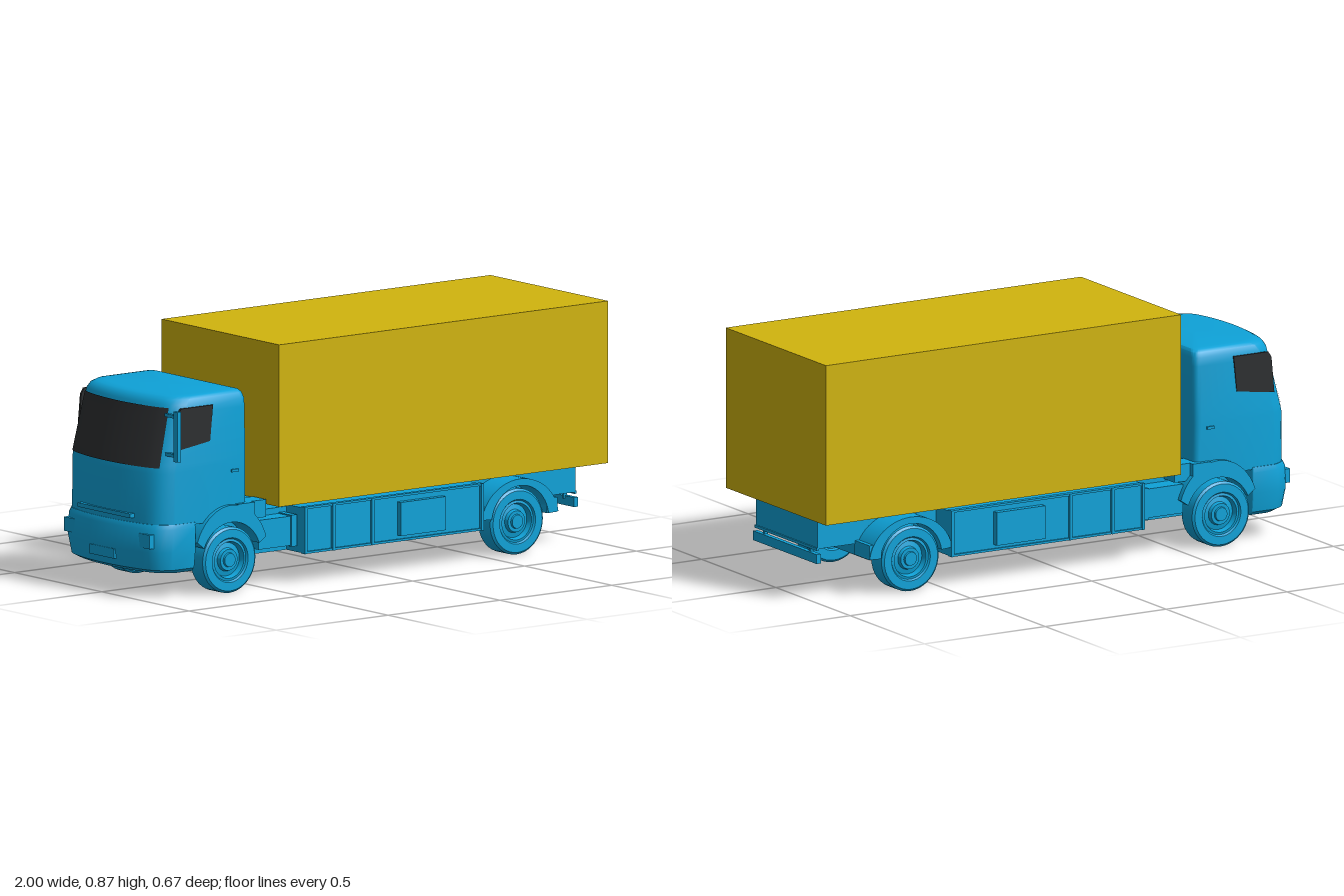
import * as THREE from 'three';
import { toCreasedNormals } from 'three/addons/utils/BufferGeometryUtils.js';

const blue = new THREE.MeshStandardMaterial({ color: 0x0ea2d8 });
const yellow = new THREE.MeshStandardMaterial({ color: 0xd0b40e });
const dark = new THREE.MeshStandardMaterial({ color: 0x2c2e30 });

// Heights of the cab: [y, front x, back x, half width]
const CAB = [
  [0.26, -0.985, -0.565, 0.278], [0.45, -0.983, -0.565, 0.28], [0.48, -0.976, -0.565, 0.28],
  [0.66, -0.93, -0.565, 0.277], [0.69, -0.923, -0.566, 0.274], [0.708, -0.912, -0.57, 0.266],
  [0.717, -0.895, -0.577, 0.254], [0.72, -0.87, -0.588, 0.236],
];
const BUMPER = [
  [0.092, -0.965, -0.8, 0.262], [0.105, -0.988, -0.8, 0.276], [0.17, -0.999, -0.8, 0.284],
  [0.25, -0.996, -0.8, 0.284], [0.268, -0.987, -0.8, 0.28],
];

// Bowed front with rounded corners; t runs from -1 to 1 across the width
const bow = t => 0.045 * t * t + 0.05 * Math.pow(Math.abs(t), 14);

// Outline of one level, seen from above
function outline([, xf, xb, w], rb) {
  const pts = [];
  for (let i = -12; i <= 12; i++) {
    const t = Math.sin((i / 12) * Math.PI / 2);
    pts.push([xf + bow(t), t * w]);
  }
  for (let i = 0; i <= 4; i++) {
    const a = (i / 4) * Math.PI / 2;
    pts.push([xb - rb + rb * Math.sin(a), w - rb + rb * Math.cos(a)]);
  }
  for (let i = 4; i >= 0; i--) {
    const a = (i / 4) * Math.PI / 2;
    pts.push([xb - rb + rb * Math.sin(a), -(w - rb + rb * Math.cos(a))]);
  }
  return pts;
}

// Skin stacked outlines and close both ends
function loft(levels, rb) {
  const pos = [], idx = [];
  let n = 0;
  for (const l of levels) {
    const o = outline(l, rb);
    n = o.length;
    for (const [x, z] of o) pos.push(x, l[0], z);
  }
  for (let j = 0; j < levels.length - 1; j++)
    for (let i = 0; i < n; i++) {
      const k = (i + 1) % n, a = j * n, b = a + n;
      idx.push(a + i, a + k, b + k, a + i, b + k, b + i);
    }
  const top = (levels.length - 1) * n, c = levels.length * n;
  for (const l of [levels[0], levels[levels.length - 1]]) pos.push((l[1] + l[2]) / 2, l[0], 0);
  for (let i = 0; i < n; i++) {
    const k = (i + 1) % n;
    idx.push(c, k, i, c + 1, top + i, top + k);
  }
  const g = new THREE.BufferGeometry();
  g.setAttribute('position', new THREE.Float32BufferAttribute(pos, 3));
  g.setIndex(idx);
  return toCreasedNormals(g, 0.6);
}

// Front of the cab at a given height
function cabLevel(y) {
  const j = Math.max(1, CAB.findIndex(l => l[0] >= y));
  const a = CAB[j - 1], b = CAB[j], f = (y - a[0]) / (b[0] - a[0]);
  return a.map((v, i) => v + (b[i] - v) * f);
}

// Glass that follows the cab front
function windscreenGeometry() {
  const g = new THREE.PlaneGeometry(2, 1, 20, 10), p = g.attributes.position;
  for (let i = 0; i < p.count; i++) {
    const y = 0.575 + p.getY(i) * 0.21, l = cabLevel(y);
    const t = p.getX(i) * (0.88 - 0.02 * p.getY(i));
    p.setXYZ(i, l[1] + bow(t) - 0.004, y, t * l[3]);
  }
  g.computeVertexNormals();
  return g;
}

function wheelGeometry() {
  const profile = [
    [0, -0.03], [0.07, -0.03], [0.075, -0.041], [0.11, -0.041], [0.118, -0.034], [0.118, 0.034],
    [0.11, 0.041], [0.08, 0.041], [0.075, 0.034], [0.066, 0.036], [0.06, 0.016], [0.042, 0.02],
    [0.038, 0.034], [0.026, 0.034], [0.024, 0.041], [0, 0.041],
  ].map(([x, y]) => new THREE.Vector2(x, y));
  return toCreasedNormals(new THREE.LatheGeometry(profile, 40).rotateX(Math.PI / 2), 0.6);
}

// Arched band between two ellipses
function archGeometry(rx, ry, inner, from, to, depth) {
  const s = new THREE.Shape();
  s.absellipse(0, 0, rx, ry, from, to, false);
  s.absellipse(0, 0, inner, inner, to, from, true);
  const g = new THREE.ExtrudeGeometry(s, { depth, bevelEnabled: false, curveSegments: 14 });
  return toCreasedNormals(g.translate(0, 0, -depth / 2), 0.6);
}

function plateGeometry(points, depth) {
  const s = new THREE.Shape(points.map(([x, y]) => new THREE.Vector2(x, y)));
  return new THREE.ExtrudeGeometry(s, { depth, bevelEnabled: false }).translate(0, 0, -depth / 2);
}

export function createModel() {
  const model = new THREE.Group();
  model.name = 'boxTruck';
  const add = (name, geo, mat = blue, x = 0, y = 0, z = 0) => {
    const m = new THREE.Mesh(geo, mat);
    m.name = name;
    m.position.set(x, y, z);
    model.add(m);
    return m;
  };
  // Box given by its limits
  const box = (name, x0, x1, y0, y1, z0, z1, mat = blue) =>
    add(name, new THREE.BoxGeometry(x1 - x0, y1 - y0, Math.abs(z1 - z0)), mat,
      (x0 + x1) / 2, (y0 + y1) / 2, (z0 + z1) / 2);

  // Cargo box
  box('cargoBox', -0.47, 1, 0.295, 0.875, -0.337, 0.337, yellow);

  // Cab
  add('cab', loft(CAB, 0.025));
  add('bumper', loft(BUMPER, 0.005));
  add('windscreen', windscreenGeometry(), dark);
  box('grilleBar', -0.991, -0.96, 0.285, 0.3, -0.15, 0.15);
  box('numberPanel', -1, -0.97, 0.13, 0.165, -0.07, 0.07);

  // Chassis
  box('frontChassis', -0.82, -0.33, 0.11, 0.265, -0.205, 0.205);
  box('cabRearPlate', -0.57, -0.48, 0.24, 0.312, -0.2, 0.2);
  box('subframe', -0.5, 0.45, 0.26, 0.296, -0.11, 0.11);
  box('centreBody', -0.335, 0.465, 0.11, 0.272, -0.303, 0.303);
  box('rearChassis', 0.43, 0.955, 0.178, 0.296, -0.208, 0.208);
  box('rearAxleHousing', 0.45, 0.74, 0.11, 0.18, -0.205, 0.205);
  box('tailLip', 0.95, 0.96, 0.172, 0.182, -0.208, 0.208);
  box('underrunBar', 0.945, 0.963, 0.126, 0.16, -0.213, 0.213);

  const wheel = wheelGeometry();
  const frontArch = archGeometry(0.165, 0.193, 0.132, 0.35, 2.75, 0.095);
  const rearArch = archGeometry(0.172, 0.152, 0.128, 0.12, 3.0, 0.106);
  const sideWindow = plateGeometry(
    [[-0.89, 0.53], [-0.735, 0.552], [-0.722, 0.68], [-0.865, 0.68], [-0.878, 0.66]], 0.008);

  for (const s of [1, -1]) {
    const side = s > 0 ? 'left' : 'right';
    // Wheels and fenders
    for (const [end, x] of [['Front', -0.66], ['Rear', 0.625]])
      add(side + end + 'Wheel', wheel, blue, x, 0.12, s * 0.259).rotation.y = s > 0 ? 0 : Math.PI;
    add(side + 'FrontFender', frontArch, blue, -0.65, 0.122, s * 0.2475);
    box(side + 'FenderDeck', -0.62, -0.545, 0.25, 0.315, s * 0.2, s * 0.295);
    box(side + 'FenderTail', -0.545, -0.48, 0.252, 0.315, s * 0.2, s * 0.275);
    add(side + 'RearFender', rearArch, blue, 0.63, 0.122, s * 0.255);
    box(side + 'MudFlap', 0.75, 0.8, 0.138, 0.19, s * 0.205, s * 0.305);

    // Side windows, door handle, headlamp
    add(side + 'Window', sideWindow, dark, 0, 0, s * 0.2775);
    box(side + 'DoorHandle', -0.64, -0.61, 0.43, 0.44, s * 0.275, s * 0.286);
    box(side + 'Headlamp', -0.978, -0.93, 0.185, 0.235, s * 0.15, s * 0.245);

    // Tank and side skirt with ribs, rails and hatch
    box(side + 'Tank', -0.515, -0.35, 0.138, 0.243, s * 0.2, s * 0.275);
    box(side + 'TankStrap', -0.37, -0.345, 0.134, 0.247, s * 0.2, s * 0.279);
    for (const x of [-0.33, -0.205, -0.03, 0.459])
      box(side + 'SkirtRib', x - 0.006, x + 0.006, 0.108, 0.276, s * 0.29, s * 0.313);
    for (const y of [0.112, 0.272])
      box(side + 'SkirtRail', -0.335, 0.465, y - 0.004, y + 0.004, s * 0.29, s * 0.31);
    box(side + 'Hatch', 0.085, 0.285, 0.13, 0.25, s * 0.3, s * 0.325);

    // Underrun bracket
    box(side + 'BarBracket', 0.94, 0.955, 0.15, 0.18, s * 0.15, s * 0.16);
  }

  // Mirror on the driver's side
  box('mirrorHousing', -0.918, -0.902, 0.5, 0.68, 0.305, 0.328);
  for (const y of [0.52, 0.66]) box('mirrorArm', -0.914, -0.9, y - 0.006, y + 0.006, 0.25, 0.31);

  return model;
}
